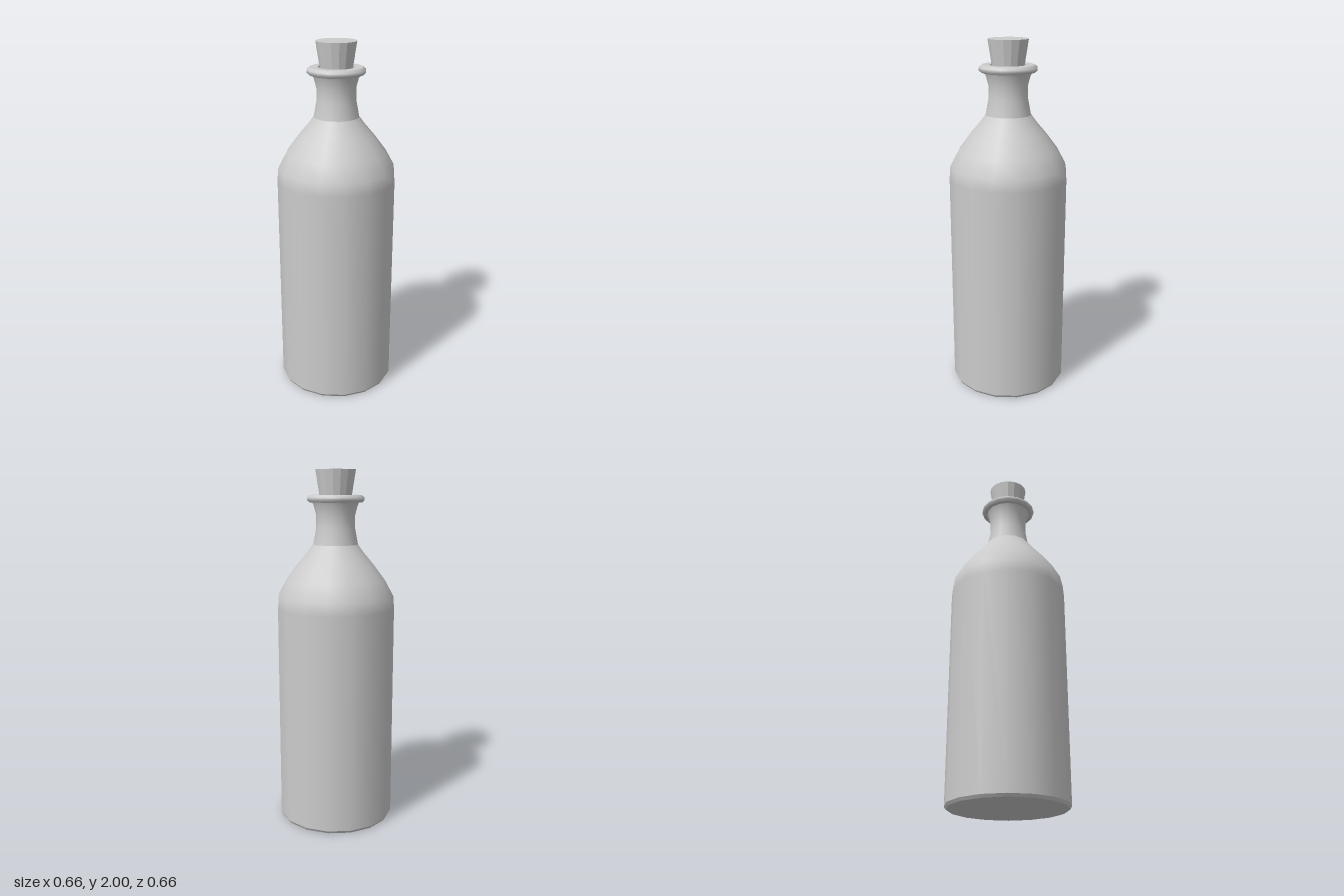
import * as THREE from 'three';

const SIDES = 16;
const TURN = THREE.MathUtils.degToRad(-5.9);

// One smooth turned band; separate bands keep the edges between them sharp
function turned(name, profile, material) {
  const points = profile.map(([r, y]) => new THREE.Vector2(r, y));
  const mesh = new THREE.Mesh(new THREE.LatheGeometry(points, SIDES, TURN), material);
  mesh.name = name;
  return mesh;
}

export function createModel() {
  const model = new THREE.Group();
  model.name = 'corkedBottle';
  const glass = new THREE.MeshStandardMaterial({ color: 0xcccccc });
  const corkMaterial = new THREE.MeshStandardMaterial({ color: 0xcccccc, flatShading: true });

  const bottle = new THREE.Group();
  bottle.name = 'bottle';
  model.add(bottle);

  const bands = {
    base: [[0, 0], [0.322, 0]],
    baseBevel: [[0.322, 0], [0.332, 0.016]],
    body: [
      [0.332, 0.016], [0.332, 1.24], [0.327, 1.31], [0.278, 1.4],
      [0.215, 1.484], [0.155, 1.555], [0.126, 1.595],
    ],
    neck: [[0.126, 1.595], [0.109, 1.685], [0.109, 1.755], [0.122, 1.805], [0.13, 1.824]],
    // Rolled lip around the mouth
    lipUnderside: [[0.13, 1.824], [0.147, 1.824]],
    lipEdge: [[0.147, 1.824], [0.16, 1.836], [0.16, 1.851], [0.144, 1.864]],
    lipTop: [[0.144, 1.864], [0.1, 1.864]],
    mouth: [[0.1, 1.864], [0.085, 1.75]],
  };
  for (const [name, profile] of Object.entries(bands)) bottle.add(turned(name, profile, glass));

  // Tapered stopper, pushed part way into the neck
  const cork = new THREE.Mesh(
    new THREE.CylinderGeometry(0.112, 0.074, 0.24, SIDES, 1, false, TURN), corkMaterial);
  cork.name = 'cork';
  cork.position.y = 1.88;
  model.add(cork);

  return model;
}
